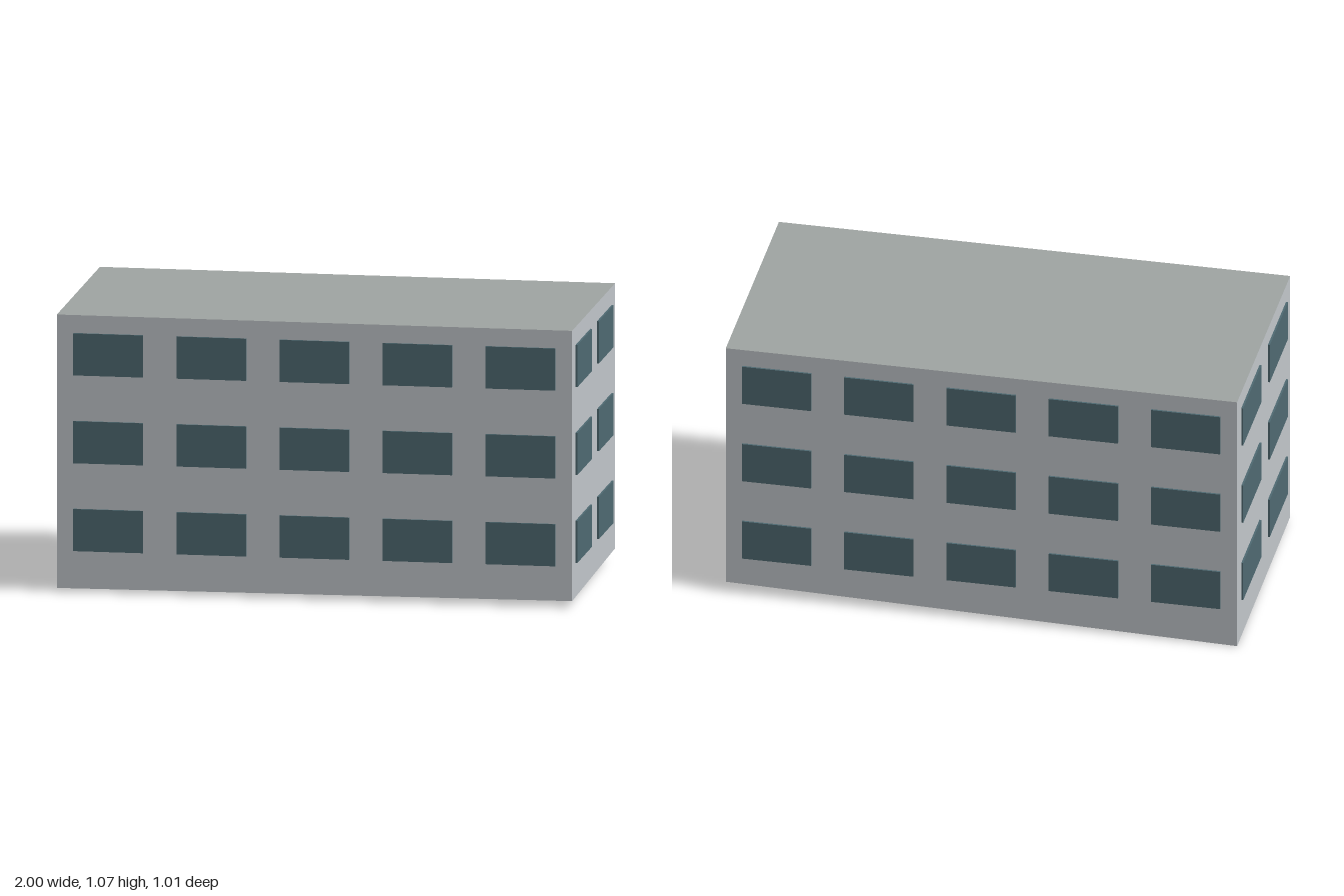
import * as THREE from 'three';

const W = 1.975, D = 0.973, TOP = 1.065;

export function createModel() {
  const material = (name, color) => {
    const m = new THREE.MeshStandardMaterial({ color });
    m.name = name;
    return m;
  };
  const wall = material('wall grey', 0xc2c7cb);
  const roof = material('roof grey', 0xa0a5a3);
  const glass = material('window teal', 0x4f6a72);

  const model = new THREE.Group();
  model.name = 'building';
  const block = new THREE.Group();
  block.name = 'block';
  block.rotation.y = 0.0113;
  model.add(block);

  // Main body: a box whose base follows slightly uneven ground
  const geo = new THREE.BoxGeometry(W, TOP, D).translate(0, TOP / 2, 0);
  const pos = geo.attributes.position;
  for (let i = 0; i < pos.count; i++) {
    if (pos.getY(i) > 0.5) continue;
    const right = pos.getX(i) > 0, front = pos.getZ(i) > 0;
    pos.setY(i, right ? (front ? 0.025 : 0.045) : (front ? 0.013 : 0));
  }
  geo.computeVertexNormals();
  const body = new THREE.Mesh(geo, [wall, wall, roof, wall, wall, wall]);
  body.name = 'body';
  block.add(body);

  // Window plates, three floors on every facade
  const addFacade = (name, angle, distance, count, pitch, width) => {
    const facade = new THREE.Group();
    facade.name = name;
    facade.rotation.y = angle;
    const pane = new THREE.BoxGeometry(width, 0.162, 0.009);
    for (let floor = 0; floor < 3; floor++) {
      for (let i = 0; i < count; i++) {
        const win = new THREE.Mesh(pane, glass);
        win.name = 'window';
        win.position.set((i - (count - 1) / 2) * pitch, 0.239 + floor * 0.338, distance + 0.003);
        facade.add(win);
      }
    }
    block.add(facade);
  };
  addFacade('frontWindows', 0, D / 2, 5, W / 5, 0.267);
  addFacade('backWindows', Math.PI, D / 2, 5, W / 5, 0.267);
  addFacade('leftWindows', Math.PI / 2, W / 2, 2, D / 2, 0.333);
  addFacade('rightWindows', -Math.PI / 2, W / 2, 2, D / 2, 0.333);

  return model;
}
